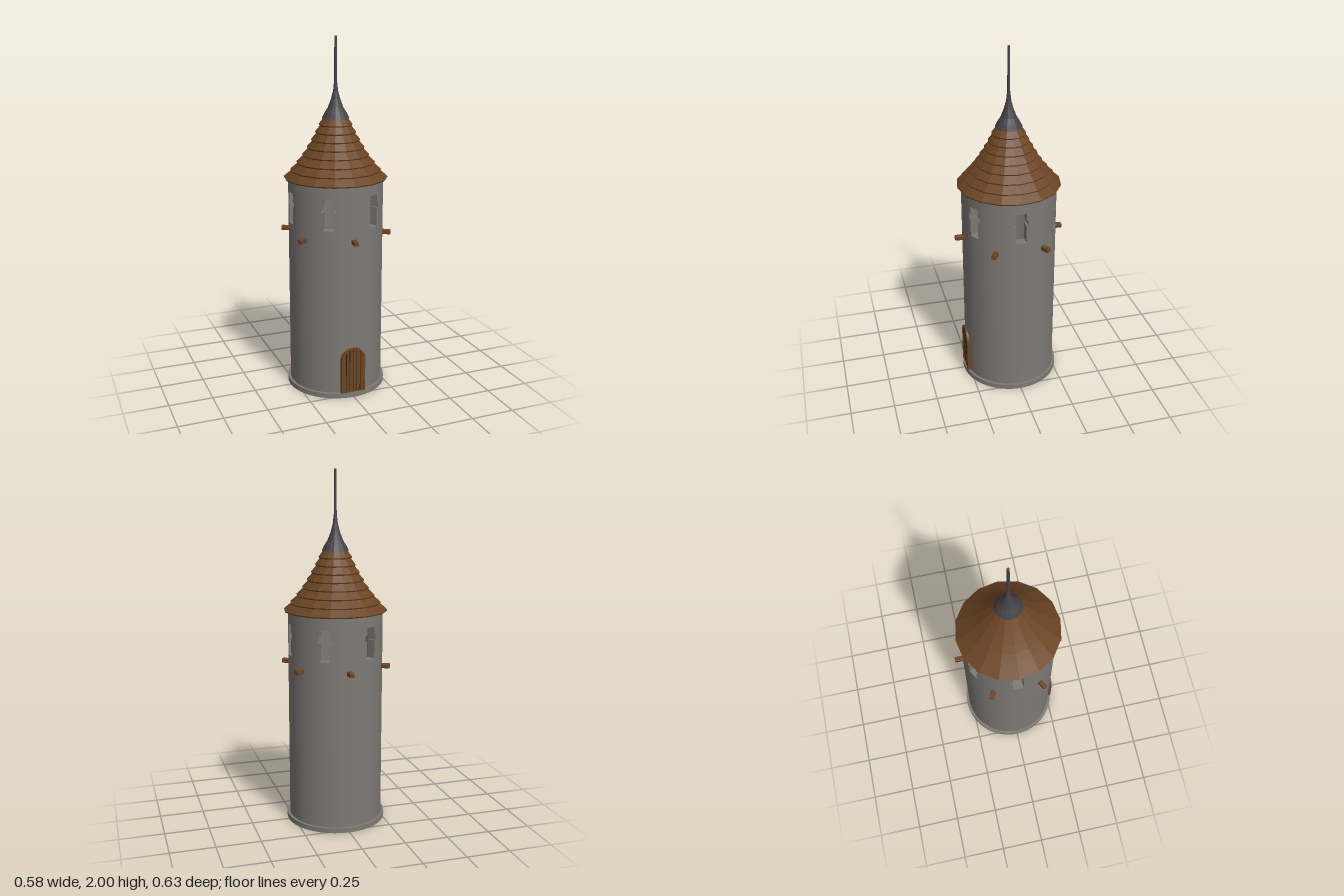
import * as THREE from 'three';
import { toCreasedNormals } from 'three/addons/utils/BufferGeometryUtils.js';
import { RoundedBoxGeometry } from 'three/addons/geometries/RoundedBoxGeometry.js';

const material = (name, color, extra = {}) => {
  const m = new THREE.MeshStandardMaterial({ color, ...extra });
  m.name = name;
  return m;
};

const OUTER = 0.267, INNER = 0.217; // wall radii

export function createModel() {
  const stone = material('stone', 0x7d7a75);
  const shingle = material('shingle brown', 0x6b4423, { flatShading: true });
  const wood = material('wood', 0x6b4423);
  const gap = material('dark wood gap', 0x2e1c0e);
  const slate = material('dark slate', 0x464348, { flatShading: true });

  const tower = new THREE.Group();
  tower.name = 'tower';
  const add = (name, geometry, mat, parent = tower) => {
    const mesh = new THREE.Mesh(geometry, mat);
    mesh.name = name;
    parent.add(mesh);
    return mesh;
  };

  // Extrude a plan shape upward between two heights, keeping the curve smooth
  const raise = (shape, y0, y1, curveSegments) => {
    const g = new THREE.ExtrudeGeometry(shape, { depth: y1 - y0, bevelEnabled: false, curveSegments });
    g.rotateX(-Math.PI / 2);
    g.translate(0, y0, 0);
    return toCreasedNormals(g, 0.5);
  };
  const ring = (y0, y1) => {
    const s = new THREE.Shape().absarc(0, 0, OUTER, 0, Math.PI * 2);
    s.holes.push(new THREE.Path().absarc(0, 0, INNER, 0, Math.PI * 2, true));
    return raise(s, y0, y1, 60);
  };
  // Wall between two neighbouring windows of the given half width
  const pier = (y0, y1, half) => {
    const a = Math.asin(half / OUTER), b = Math.asin(half / INNER), end = Math.PI / 3;
    const s = new THREE.Shape();
    s.absarc(0, 0, OUTER, a, end - a, false);
    s.absarc(0, 0, INNER, end - b, b, true);
    s.closePath();
    return raise(s, y0, y1, 10);
  };

  // Stone body: plinth, hollow shaft, piers leaving cross-shaped windows, top ring
  add('plinth', new THREE.CylinderGeometry(0.283, 0.283, 0.028, 64).translate(0, 0.014, 0), stone);
  add('shaft', ring(0.028, 0.98), stone);
  add('wallTop', ring(1.157, 1.228), stone);
  const bands = [[0.98, 1.082, 0.03], [1.082, 1.112, 0.041], [1.112, 1.157, 0.03]];
  for (let i = 0; i < 6; i++) {
    const group = new THREE.Group();
    group.name = 'windowPier';
    group.rotation.y = i * Math.PI / 3;
    for (const band of bands) add('pierBand', pier(...band), stone, group);
    tower.add(group);
  }

  // Six beam ends poking out of the wall
  for (let i = 0; i < 6; i++) {
    const g = new RoundedBoxGeometry(0.027, 0.026, 0.08, 2, 0.004);
    g.translate(0, 0.916, 0.274);
    add('beamEnd', g, wood).rotation.y = i * Math.PI / 3;
  }

  // Roof: overlapping shingle courses over a concave cone
  const radii = [0.292, 0.255, 0.22, 0.188, 0.161, 0.137, 0.114, 0.094, 0.075];
  const step = 0.042, eave = 1.222;
  for (let i = 0; i < 8; i++) {
    const y = eave + i * step, r = radii[i], top = radii[i + 1] - 0.011;
    const points = [
      [r - 0.03, y + 0.004], [r - 0.003, y], [r, y + 0.007], [top, y + step + 0.004], [top - 0.012, y + step + 0.004], [r - 0.03, y + 0.004],
    ].map(([x, h]) => new THREE.Vector2(x, h));
    add('shingleCourse', new THREE.LatheGeometry(points, 16), shingle);
  }
  add('eaveSoffit', new THREE.RingGeometry(0.26, 0.288, 16).rotateX(Math.PI / 2).translate(0, 1.2215, 0), slate);

  // Flared spire and mast
  const spire = [[0, 1.556], [0.076, 1.556], [0.062, 1.585], [0.043, 1.615], [0.026, 1.66], [0.014, 1.705],
    [0.008, 1.76], [0.007, 1.997], [0, 1.997]].map(([x, y]) => new THREE.Vector2(x, y));
  add('spire', new THREE.LatheGeometry(spire, 16), slate);
  add('mastCap', new THREE.CylinderGeometry(0.007, 0.007, 0.003, 16).translate(0, 1.9985, 0), wood);

  // Arched door: planks behind a slim frame
  const door = new THREE.Group();
  door.name = 'door';
  const arch = (half, y0, Path = THREE.Shape) => {
    const p = new Path();
    p.moveTo(-half, y0);
    p.lineTo(half, y0);
    p.lineTo(half, 0.225);
    p.absarc(0, 0.225, half, 0, Math.PI, false);
    p.lineTo(-half, y0);
    return p;
  };
  const slab = (shape, z0, z1) => toCreasedNormals(new THREE.ExtrudeGeometry(shape,
    { depth: z1 - z0, bevelEnabled: false, curveSegments: 16 }).translate(0, 0, z0), 0.5);
  add('planks', slab(arch(0.064, 0.028), 0.24, 0.272), wood, door);
  const frame = arch(0.072, 0.028);
  frame.holes.push(arch(0.062, 0.034, THREE.Path));
  add('doorFrame', slab(frame, 0.24, 0.276), wood, door);
  for (let i = -2; i <= 2; i++) {
    const x = i * 0.021, top = 0.225 + Math.sqrt(0.062 ** 2 - x ** 2), h = top - 0.034;
    add('plankGap', new THREE.BoxGeometry(0.003, h, 0.002).translate(x, 0.034 + h / 2, 0.2722), gap, door);
  }
  tower.add(door);

  return tower;
}
